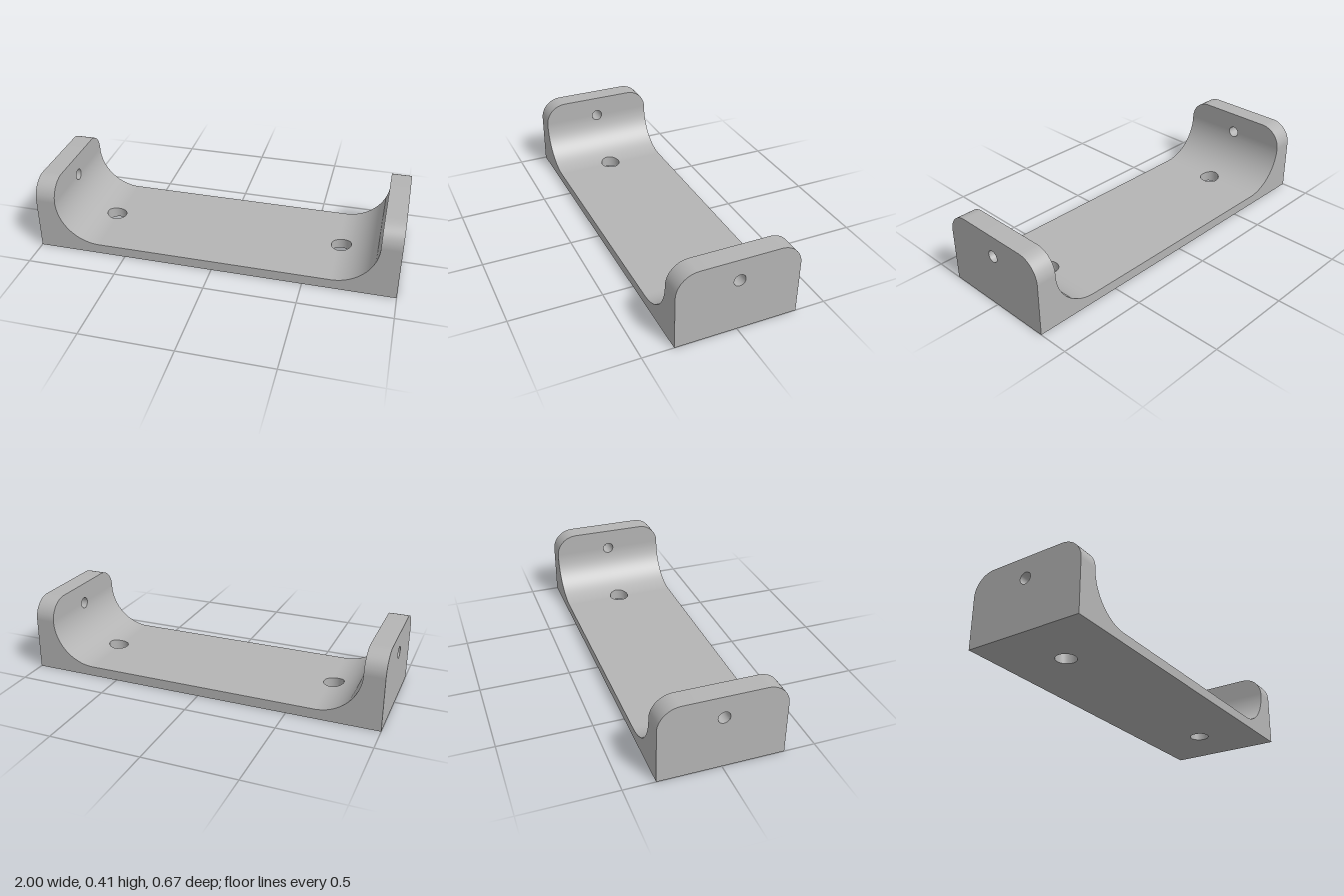
import * as THREE from 'three';
import { toCreasedNormals } from 'three/addons/utils/BufferGeometryUtils.js';

// Main dimensions
const HALF_DEPTH = 0.333, HEIGHT = 0.412, PLATE = 0.055, WALL_X = 0.89;
const FILLET = 0.24, CORNER = 0.12;
const CX = WALL_X - FILLET, CY = PLATE + FILLET;      // fillet centre
const BASE_HOLE = { at: 0.667, r: 0.056 }, WALL_HOLE = { at: 0.293, r: 0.032 };

// Inner surface: height above x, and x of the wall at height y
const innerY = x => x <= CX ? PLATE : CY - Math.sqrt(Math.max(0, FILLET ** 2 - (x - CX) ** 2));
const innerX = y => y >= CY ? WALL_X : CX + Math.sqrt(Math.max(0, FILLET ** 2 - (y - CY) ** 2));

// Half width of a hole at a station, and half depth of the body at a height
const chord = (hole, v) => Math.sqrt(Math.max(0, hole.r ** 2 - (v - hole.at) ** 2));
const holeHalf = (x, y) => chord(BASE_HOLE, x) + chord(WALL_HOLE, y);
const depth = y => {
  const t = Math.max(0, y - (HEIGHT - CORNER));
  return HALF_DEPTH - CORNER + Math.sqrt(Math.max(0, CORNER ** 2 - t * t));
};

const range = (n, f) => Array.from({ length: n + 1 }, (_, i) => f(i / n));
const holeStations = hole => range(18, t => hole.at - hole.r * Math.cos(t * Math.PI));

// Collects quads of one quarter (x > 0, z > 0) and mirrors them to all four
function quarterBuilder() {
  const pos = [];
  const quad = (a, b, c, d) => {
    for (const sx of [1, -1]) for (const sz of [1, -1]) {
      const q = [a, b, c, d].map(([x, y, z]) => [x * sx, y, z * sz]);
      if (sx * sz < 0) q.reverse();
      pos.push(...q[0], ...q[1], ...q[2], ...q[0], ...q[2], ...q[3]);
    }
  };
  const mesh = (name, material) => {
    const g = new THREE.BufferGeometry();
    g.setAttribute('position', new THREE.Float32BufferAttribute(pos, 3));
    g.scale(100, 100, 100);                            // finer vertex matching for creases
    const smooth = toCreasedNormals(g, 0.5);
    smooth.scale(0.01, 0.01, 0.01);
    const m = new THREE.Mesh(smooth, material);
    m.name = name;
    return m;
  };
  return { quad, mesh };
}

// Skin along a path of [x, y] stations, from hole edge to body edge
function skin(quad, path, flip) {
  for (let i = 0; i < path.length - 1; i++) {
    const [[x0, y0], [x1, y1]] = [path[i], path[i + 1]];
    const q = [
      [x0, y0, holeHalf(x0, y0)], [x0, y0, depth(y0)],
      [x1, y1, depth(y1)], [x1, y1, holeHalf(x1, y1)],
    ];
    quad(...(flip ? q.reverse() : q));
  }
}

export function createModel() {
  const group = new THREE.Group();
  group.name = 'mountingBracket';
  const grey = new THREE.MeshStandardMaterial({ color: 0xb4b4b4 });
  grey.name = 'plain grey';

  // Stations along the inner profile, from the middle to the wall top
  const inner = [
    [0, PLATE],
    ...holeStations(BASE_HOLE).map(x => [x, innerY(x)]),
    ...range(28, t => t * Math.PI / 2).map(a =>
      [CX + FILLET * Math.sin(a), CY - FILLET * Math.cos(a)]),
    ...holeStations(WALL_HOLE).map(y => [innerX(y), y]),
    ...range(16, t => HEIGHT - CORNER + CORNER * Math.sin(t * Math.PI / 2)).map(y => [innerX(y), y]),
  ].sort((p, q) => p[0] + p[1] - q[0] - q[1]);
  const rising = inner.filter(p => p[0] >= CX);

  // U-shaped body
  const body = quarterBuilder();
  skin(body.quad, inner, false);
  skin(body.quad, [[1, 0], ...rising.map(p => [1, p[1]])], true);
  skin(body.quad, [...inner.filter(p => p[0] < 0.8).map(p => [p[0], 0]), [1, 0]], true);

  // Front and back faces, with rounded upper corners
  const D = HALF_DEPTH;
  body.quad([0, 0, D], [1, 0, D], [1, PLATE, D], [0, PLATE, D]);
  for (let i = 0; i < rising.length - 1; i++) {
    const [[x0, y0], [x1, y1]] = [rising[i], rising[i + 1]];
    body.quad([x0, y0, depth(y0)], [1, y0, depth(y0)], [1, y1, depth(y1)], [x1, y1, depth(y1)]);
  }

  // Flat wall tops
  const top = depth(HEIGHT);
  body.quad([WALL_X, HEIGHT, 0], [WALL_X, HEIGHT, top], [1, HEIGHT, top], [1, HEIGHT, 0]);
  group.add(body.mesh('bracketBody', grey));

  // Bores through the plate
  const plateBores = quarterBuilder();
  const xs = holeStations(BASE_HOLE);
  for (let i = 0; i < xs.length - 1; i++) {
    const [x0, x1] = [xs[i], xs[i + 1]];
    const [h0, h1] = [chord(BASE_HOLE, x0), chord(BASE_HOLE, x1)];
    plateBores.quad([x0, 0, h0], [x0, innerY(x0), h0], [x1, innerY(x1), h1], [x1, 0, h1]);
  }
  group.add(plateBores.mesh('plateHoleBores', grey));

  // Bores through the end walls
  const wallBores = quarterBuilder();
  const ys = holeStations(WALL_HOLE);
  for (let i = 0; i < ys.length - 1; i++) {
    const [y0, y1] = [ys[i], ys[i + 1]];
    const [h0, h1] = [chord(WALL_HOLE, y0), chord(WALL_HOLE, y1)];
    wallBores.quad([innerX(y0), y0, h0], [innerX(y1), y1, h1], [1, y1, h1], [1, y0, h0]);
  }
  group.add(wallBores.mesh('wallHoleBores', grey));

  return group;
}
